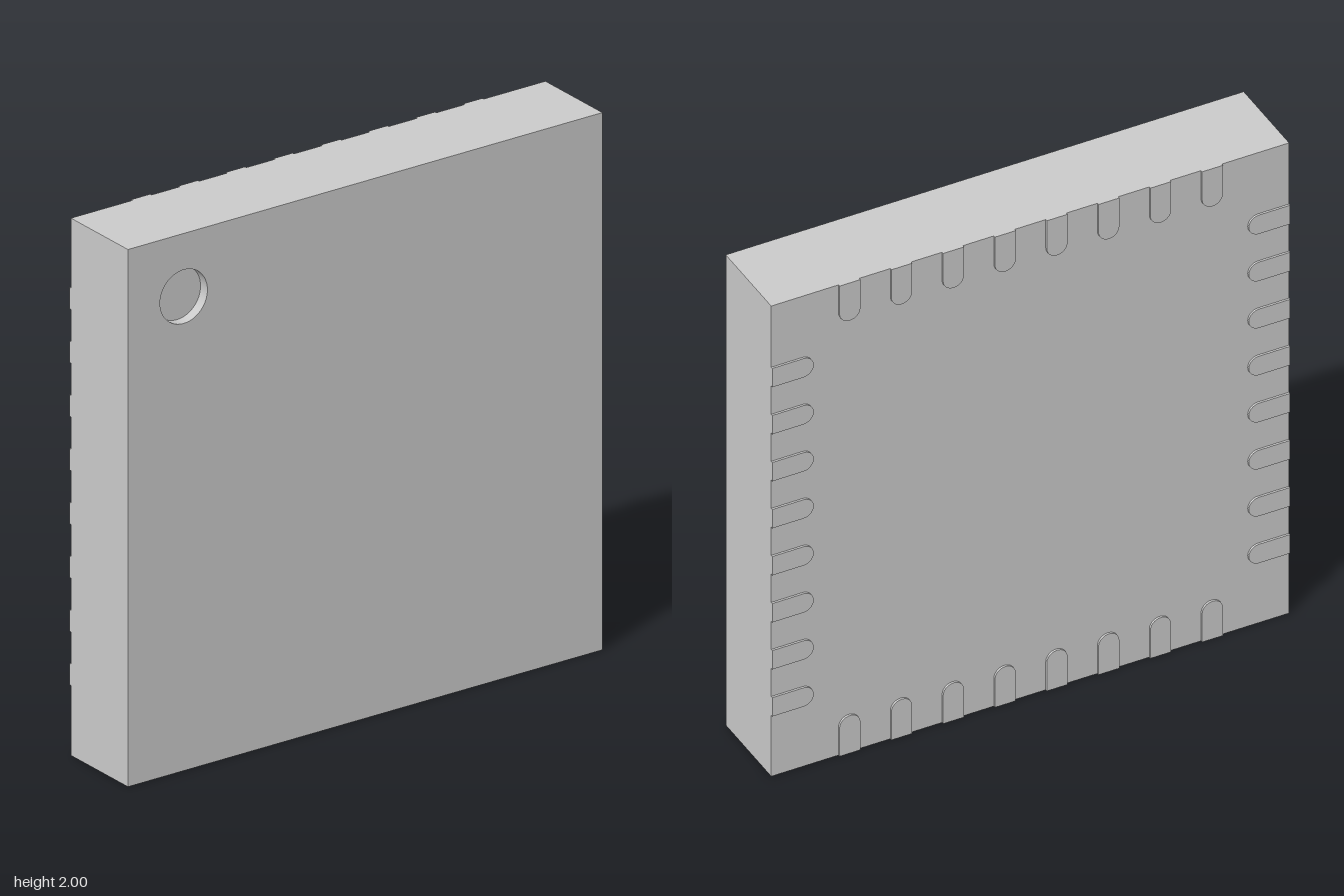
import * as THREE from 'three';
import { toCreasedNormals } from 'three/addons/utils/BufferGeometryUtils.js';

const FRONT = 0.17, BACK = -0.162, PAD_H = 0.008;
const DOT = { x: -0.765, y: 0.765, r: 0.1, depth: 0.04 };

export function createModel() {
  const model = new THREE.Group();
  const grey = new THREE.MeshStandardMaterial({ color: 0xcccccc });
  const inward = new THREE.MeshStandardMaterial({ color: 0xcccccc, side: THREE.BackSide });

  const add = (parent, name, geometry, material = grey) => {
    const mesh = new THREE.Mesh(geometry, material);
    mesh.name = name;
    parent.add(mesh);
    return mesh;
  };

  // Package body, centred on its square face
  const body = new THREE.Group();
  body.name = 'body';
  body.position.y = 1;
  model.add(body);

  // Sides and back: a box without its front face
  const shell = new THREE.BoxGeometry(2, 2, FRONT - BACK);
  const index = Array.from(shell.index.array);
  index.splice(24, 6);
  shell.setIndex(index);
  shell.clearGroups();
  add(body, 'bodyShell', shell).position.z = (FRONT + BACK) / 2;

  // Front face, opened for the round orientation mark
  const face = new THREE.Shape([
    new THREE.Vector2(-1, -1), new THREE.Vector2(1, -1),
    new THREE.Vector2(1, 1), new THREE.Vector2(-1, 1),
  ]);
  face.holes.push(new THREE.Path().absarc(DOT.x, DOT.y, DOT.r, 0, Math.PI * 2, true));
  add(body, 'frontFace', new THREE.ShapeGeometry(face, 24)).position.z = FRONT;

  // Shallow recess of the mark: wall and floor
  const wall = new THREE.CylinderGeometry(DOT.r, DOT.r, DOT.depth, 48, 1, true).rotateX(Math.PI / 2);
  add(body, 'markWall', wall, inward).position.set(DOT.x, DOT.y, FRONT - DOT.depth / 2);
  add(body, 'markFloor', new THREE.CircleGeometry(DOT.r, 48))
    .position.set(DOT.x, DOT.y, FRONT - DOT.depth);

  // Contact pad: square at the body edge, rounded at the inner end
  const padR = 0.04, padLength = 0.16;
  const outline = new THREE.Shape();
  outline.moveTo(1, padR);
  outline.lineTo(1 - padLength + padR, padR);
  outline.absarc(1 - padLength + padR, 0, padR, Math.PI / 2, Math.PI * 1.5, false);
  outline.lineTo(1, -padR);
  outline.closePath();
  const padGeometry = toCreasedNormals(new THREE.ExtrudeGeometry(outline, {
    depth: PAD_H, bevelEnabled: false, curveSegments: 10,
  }), 0.6);

  // Eight pads along each of the four edges of the back
  ['left', 'top', 'right', 'bottom'].forEach((side, s) => {
    const row = new THREE.Group();
    row.name = `${side}Pads`;
    row.position.set(0, 1, BACK - PAD_H);
    row.rotation.z = s * Math.PI / 2;
    for (let i = 0; i < 8; i++) {
      add(row, 'contactPad', padGeometry).position.y = (i - 3.5) * 0.2;
    }
    model.add(row);
  });

  return model;
}
